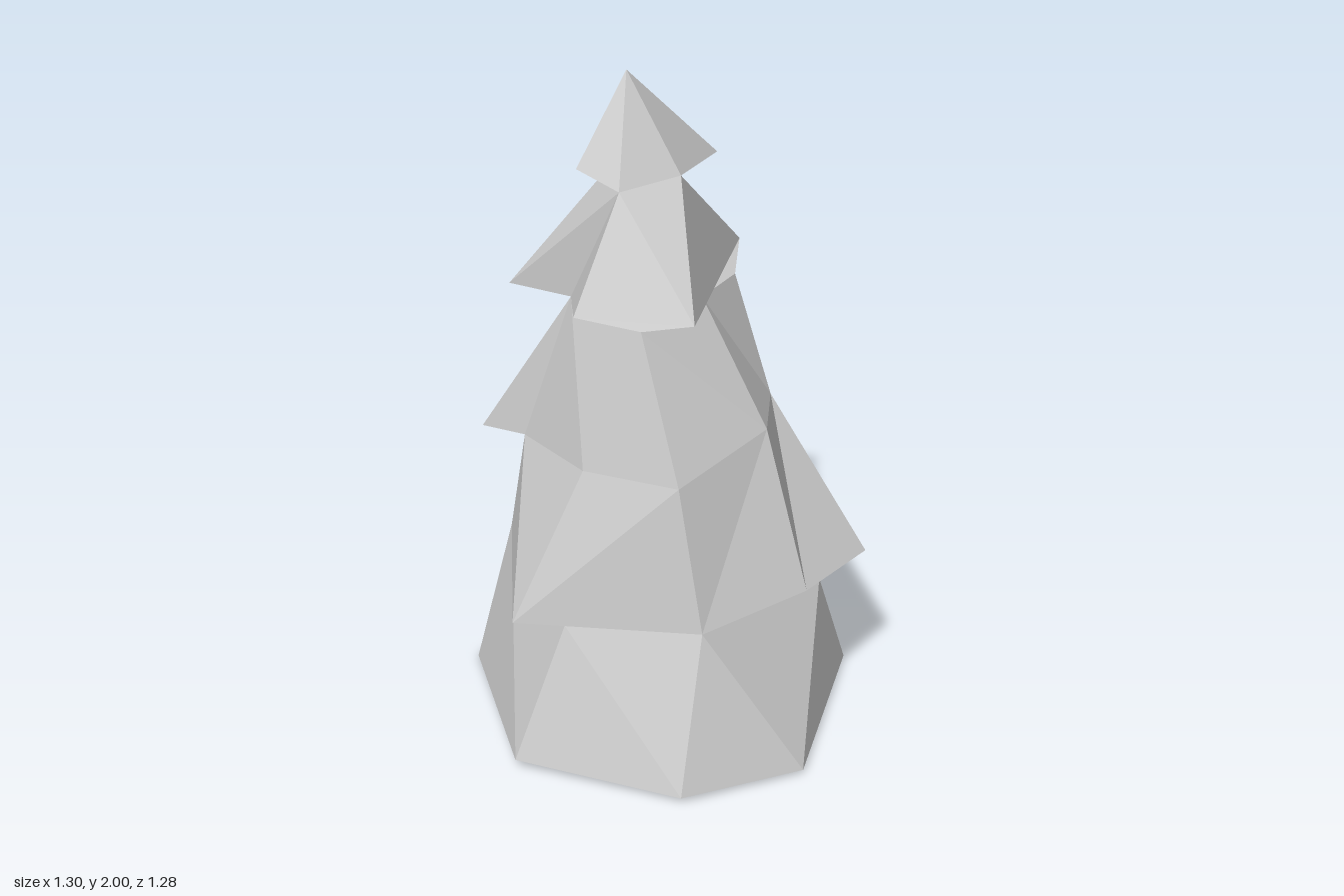
import * as THREE from 'three';

// Corner points, each ring listed counterclockwise seen from above.
// Ground ring of the skirt
const ground = [
  [-0.65, 0.03, 0.19], [-0.31, 0.02, 0.59], [0.08, 0.015, 0.64],
  [0.54, 0.015, 0.17], [0.38, 0.03, -0.57], [-0.48, 0, -0.44],
];

// Tuck ring where the skirt meets the lower tier
const tuck = [
  [-0.38, 0.5, -0.36], [-0.48, 0.45, 0.2], [-0.18, 0.48, 0.485],
  [0.36, 0.41, 0.28], [0.39, 0.455, -0.27], [-0.03, 0.385, -0.44],
];

// Jagged rim of the lower tier, sharing three corners with the tuck ring
const lowerRim = [
  tuck[0], [-0.62, 0.47, 0.14], tuck[2], [0.18, 0.52, 0.48], [0.49, 0.5, 0.335],
  [0.65, 0.49, -0.18], tuck[4], [0.36, 0.49, -0.62], [-0.155, 0.49, -0.64],
];

// Waist of the lower tier and the single branch tip hanging over it
const waist = [
  [-0.4, 0.885, -0.2], [-0.4, 0.93, 0.18], [-0.21, 0.92, 0.4], [0.125, 1.0, 0.33],
  [0.317, 0.955, 0.045], [0.31, 0.98, -0.18], [0.1, 0.84, -0.41], [-0.11, 1.0, -0.425],
];
const branchTip = [-0.47, 0.87, -0.35];

// Neck under the middle tier
const neck = [
  [-0.29, 1.35, -0.09], [-0.24, 1.35, 0.24], [0.04, 1.35, 0.1],
  [0.23, 1.34, -0.03], [0.04, 1.34, -0.27],
];

// Jagged rim of the middle tier
const middleRim = [
  neck[0], [-0.41, 1.4, 0.16], [-0.09, 1.35, 0.28], [0.37, 1.36, -0.235],
  neck[4], [-0.05, 1.35, -0.45], [-0.42, 1.37, -0.23],
];

// Throat under the crown, rim of the crown, and the peak
const throat = [[-0.195, 1.69, 0.035], [0, 1.71, 0.045], [-0.055, 1.68, -0.25]];
const crownRim = [
  throat[0], throat[1], [0.215, 1.7, -0.115], throat[2], [-0.26, 1.73, -0.1],
];
const peak = [[-0.1, 2, -0.09]];

// Stitches two rings together: each step advances the lower (l) or upper (u) ring.
function stitch(lower, upper, steps) {
  const out = [];
  let i = 0, j = 0;
  for (const step of steps) {
    const a = lower[i % lower.length], b = upper[j % upper.length];
    const c = step === 'l' ? lower[++i % lower.length] : upper[++j % upper.length];
    if (a !== c && b !== c && a !== b) out.push(...a, ...c, ...b);
  }
  return out;
}

function part(name, ...bands) {
  const geometry = new THREE.BufferGeometry();
  geometry.setAttribute('position', new THREE.Float32BufferAttribute(bands.flat(), 3));
  geometry.computeVertexNormals();
  const material = new THREE.MeshStandardMaterial({ color: 0xcccccc, flatShading: true });
  const mesh = new THREE.Mesh(geometry, material);
  mesh.name = name;
  return mesh;
}

export function createModel() {
  const tree = new THREE.Group();
  tree.name = 'lowPolyTree';
  tree.add(
    // Closed bottom and sloping sides
    part('skirt',
      stitch([[0, 0.015, 0]], ground, 'uuuuuu'),
      stitch(ground, tuck, 'ulululululul')),
    // Underside, flared sides, overhanging branch tip, shoulders
    part('lowerTier',
      stitch(tuck, lowerRim, 'luulululuuuluul'),
      stitch(lowerRim, waist, 'luululullullulu' + 'lu'),
      stitch([waist[7], waist[0]], [branchTip], 'l'),
      stitch([...waist, branchTip], neck, 'lullululullull')),
    // Underside and flared sides
    part('middleTier',
      stitch(neck, middleRim, 'luululluuluu'),
      stitch(middleRim, throat, 'llullullul')),
    // Underside and pointed top
    part('crown',
      stitch(throat, crownRim, 'luuluulu'),
      stitch(crownRim, peak, 'lllll')),
  );
  return tree;
}
